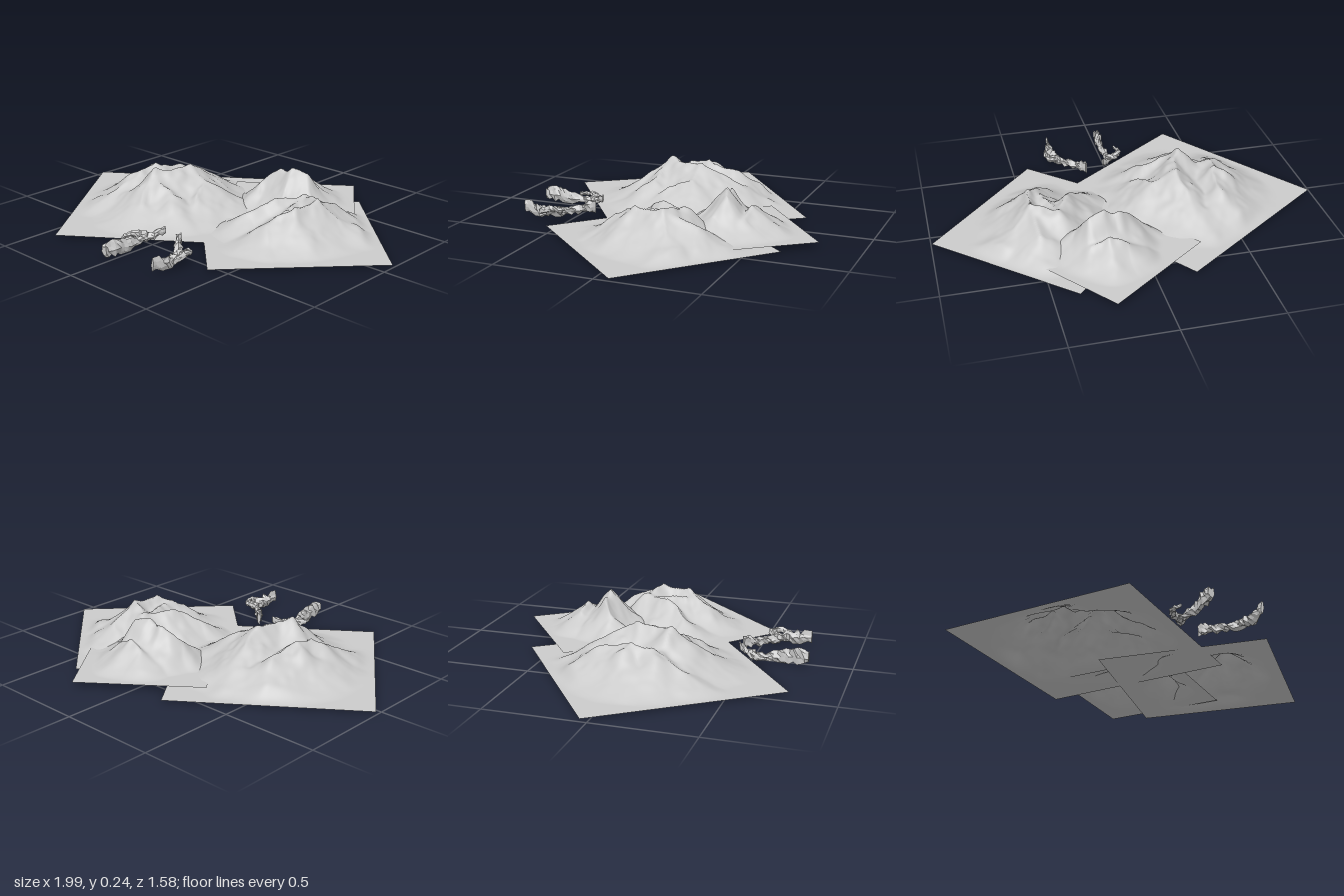
import * as THREE from 'three';

const material = flatShading =>
  new THREE.MeshStandardMaterial({ color: 0xcccccc, side: THREE.DoubleSide, flatShading });

// Seeded value noise, -1..1
function hash(i, j) {
  const s = Math.sin(i * 127.1 + j * 311.7) * 43758.5453;
  return (s - Math.floor(s)) * 2 - 1;
}
function noise(x, y) {
  const i = Math.floor(x), j = Math.floor(y);
  let u = x - i, v = y - j;
  u = u * u * (3 - 2 * u);
  v = v * v * (3 - 2 * v);
  const a = hash(i, j) * (1 - u) + hash(i + 1, j) * u;
  const b = hash(i, j + 1) * (1 - u) + hash(i + 1, j + 1) * u;
  return a * (1 - v) + b * v;
}

// Height given by one ridge segment whose ends are [x, z, height]
function ridgeHeight(x, z, a, b, spread) {
  const dx = b[0] - a[0], dz = b[1] - a[1];
  const t = THREE.MathUtils.clamp(((x - a[0]) * dx + (z - a[1]) * dz) / (dx * dx + dz * dz), 0, 1);
  const h = a[2] + (b[2] - a[2]) * t;
  const d = Math.hypot(x - a[0] - dx * t, z - a[1] - dz * t);
  return h * Math.pow(Math.max(0, 1 - d / (spread * (0.12 + 1.1 * h))), 1.55);
}

// Square sheet of land raised along its ridge lines, flat at its rim
function mountain({ name, size, turn, x, y, z, spread, ridges }) {
  const geo = new THREE.PlaneGeometry(size, size, 96, 96);
  geo.rotateX(-Math.PI / 2).rotateY(turn).translate(x, y, z);
  const p = geo.attributes.position, uv = geo.attributes.uv;
  for (let i = 0; i < p.count; i++) {
    const px = p.getX(i), pz = p.getZ(i);
    // bend the slopes, then cut gullies into them
    const wx = px + 0.02 * noise(px * 11 + 5, pz * 11);
    const wz = pz + 0.02 * noise(px * 11, pz * 11 + 9);
    let sum = 0;
    for (const line of ridges) {
      for (let k = 0; k < line.length - 1; k++) {
        sum += Math.pow(ridgeHeight(wx, wz, line[k], line[k + 1], spread), 10);
      }
    }
    const gully = 0.1 * noise(px * 13, pz * 13) + 0.04 * noise(px * 30, pz * 30);
    const inset = 0.5 - Math.max(Math.abs(uv.getX(i) - 0.5), Math.abs(uv.getY(i) - 0.5));
    const rim = THREE.MathUtils.smoothstep(inset * size, 0, 0.1);
    p.setY(i, y + Math.pow(sum, 0.1) * (0.97 + gully) * rim);
  }
  geo.computeVertexNormals();
  const mesh = new THREE.Mesh(geo, material(false));
  mesh.name = name;
  return mesh;
}

// Craggy ridge of rock; stations are [x, z, half width, bottom, top]
function crag(name, stations) {
  const sides = 8, steps = (stations.length - 1) * 4;
  const path = new THREE.CatmullRomCurve3(stations.map(s => new THREE.Vector3(s[0], 0, s[1])));
  const pos = [], index = [];
  for (let i = 0; i <= steps; i++) {
    const t = i / steps, f = t * (stations.length - 1);
    const k = Math.min(Math.floor(f), stations.length - 2);
    const mix = n => THREE.MathUtils.lerp(stations[k][n], stations[k + 1][n], f - k);
    const c = path.getPoint(t), d = path.getTangent(t);
    const seed = stations[0][0] * 90;
    for (let j = 0; j < sides; j++) {
      const a = (j / sides) * Math.PI * 2;
      const r = 0.85 + 0.45 * hash(i + seed, j);
      const w = Math.cos(a) * mix(2) * r;
      const mid = (mix(3) + mix(4)) / 2, half = (mix(4) - mix(3)) / 2;
      pos.push(c.x - d.z * w, Math.max(0, mid + Math.sin(a) * half * r), c.z + d.x * w);
      if (i < steps) {
        const q = i * sides + j, n = i * sides + (j + 1) % sides;
        index.push(q, n, q + sides, n, n + sides, q + sides);
      }
    }
  }
  // close both ends
  for (let j = 1; j < sides - 1; j++) {
    const e = steps * sides;
    index.push(0, j + 1, j, e, e + j, e + j + 1);
  }
  const geo = new THREE.BufferGeometry();
  geo.setAttribute('position', new THREE.Float32BufferAttribute(pos, 3));
  geo.setIndex(index);
  geo.computeVertexNormals();
  const mesh = new THREE.Mesh(geo, material(true));
  mesh.name = name;
  return mesh;
}

export function createModel() {
  const model = new THREE.Group();
  model.name = 'mountainRange';

  model.add(mountain({
    name: 'rightMountain', size: 0.987, turn: 0.628, x: -0.305, y: 0.011, z: 0.075, spread: 1,
    ridges: [
      [[-0.46, -0.13, 0.165], [-0.49, 0.02, 0.18], [-0.48, 0.14, 0.17], [-0.52, 0.3, 0.08]],
      [[-0.3, -0.13, 0.175], [-0.25, -0.02, 0.22], [-0.28, 0.09, 0.205], [-0.32, 0.18, 0.212], [-0.26, 0.33, 0.11]],
      [[-0.25, -0.02, 0.21], [-0.13, -0.02, 0.165], [-0.08, 0.1, 0.115]],
      [[-0.32, 0.18, 0.2], [-0.15, 0.22, 0.13]],
      [[-0.49, 0.02, 0.16], [-0.64, 0.0, 0.055]],
    ],
  }));
  model.add(mountain({
    name: 'leftMountain', size: 0.85, turn: -0.748, x: 0.395, y: 0.01, z: -0.05, spread: 0.88,
    ridges: [
      [[0.49, 0.02, 0.175], [0.52, -0.11, 0.18], [0.37, -0.15, 0.175], [0.3, -0.04, 0.155], [0.24, 0.08, 0.1]],
      [[0.52, -0.11, 0.175], [0.61, -0.18, 0.1]],
      [[0.52, -0.11, 0.165], [0.49, -0.29, 0.125]],
      [[0.49, 0.02, 0.165], [0.42, 0.16, 0.11]],
      [[0.37, -0.15, 0.165], [0.42, 0.02, 0.15]],
    ],
  }));
  model.add(mountain({
    name: 'backMountain', size: 0.645, turn: 0.653, x: 0.17, y: 0.03, z: -0.34, spread: 0.73,
    ridges: [
      [[0.04, -0.24, 0.11], [0.12, -0.32, 0.18], [0.17, -0.32, 0.205], [0.25, -0.34, 0.18], [0.33, -0.3, 0.11]],
      [[0.1, -0.46, 0.11], [0.18, -0.46, 0.13], [0.28, -0.44, 0.1]],
      [[0.17, -0.32, 0.18], [0.2, -0.22, 0.1]],
    ],
  }));

  // Forked crags lying in front
  const rightCrag = new THREE.Group();
  rightCrag.name = 'rightCrag';
  rightCrag.add(
    crag('rightCragSpine', [[0.02, 0.43, 0.008, 0.04, 0.08], [-0.015, 0.48, 0.022, 0.02, 0.06],
      [-0.03, 0.55, 0.022, 0.01, 0.05], [-0.015, 0.63, 0.016, 0, 0.06],
      [-0.02, 0.71, 0.02, 0, 0.09], [-0.02, 0.785, 0.014, 0, 0.08]]),
    crag('rightCragBranch', [[-0.025, 0.5, 0.022, 0.02, 0.06], [-0.07, 0.52, 0.022, 0.025, 0.06],
      [-0.1, 0.56, 0.015, 0.03, 0.06], [-0.085, 0.62, 0.007, 0.03, 0.05]]),
  );
  const leftCrag = new THREE.Group();
  leftCrag.name = 'leftCrag';
  leftCrag.add(
    crag('leftCragSpine', [[0.11, 0.43, 0.014, 0.01, 0.08], [0.16, 0.48, 0.02, 0.01, 0.06],
      [0.22, 0.54, 0.022, 0.01, 0.05], [0.27, 0.6, 0.032, 0.01, 0.065],
      [0.275, 0.67, 0.022, 0.01, 0.085], [0.27, 0.75, 0.009, 0.02, 0.08]]),
    crag('leftCragBranch', [[0.24, 0.57, 0.022, 0.02, 0.06], [0.29, 0.54, 0.016, 0.04, 0.08],
      [0.308, 0.59, 0.012, 0.05, 0.08], [0.3, 0.65, 0.008, 0.03, 0.06]]),
  );
  model.add(rightCrag, leftCrag);
  return model;
}
